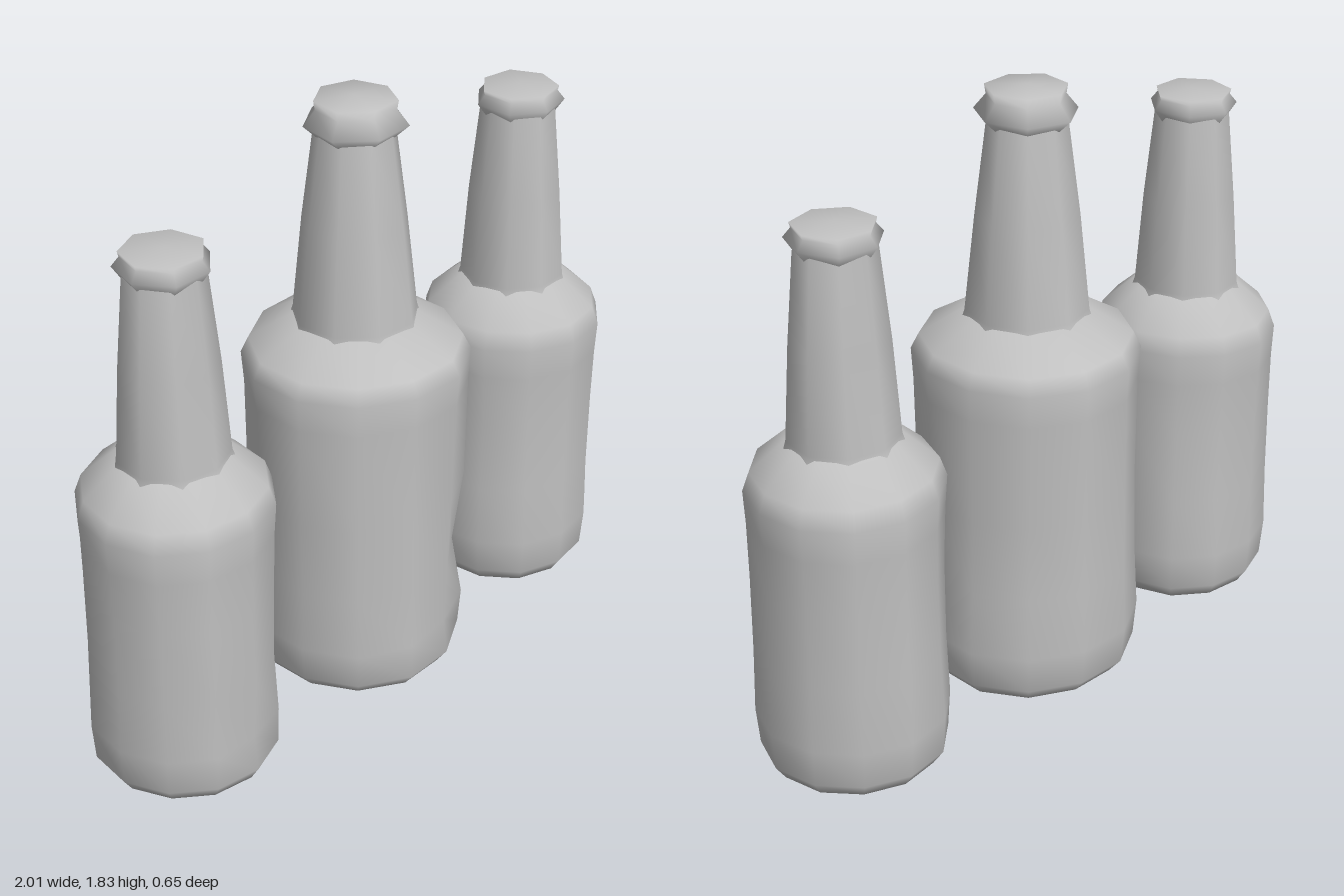
import * as THREE from 'three';
import { mergeVertices } from 'three/addons/utils/BufferGeometryUtils.js';

const glass = new THREE.MeshStandardMaterial({ color: 0xc0c0c0 });
glass.name = 'grey';

// Turned part with welded smooth normals; dents push [angle, y, depth] areas inward
function turned(name, profile, sides, wobble = 0, dents = [], seed = 0) {
  let g = new THREE.LatheGeometry(profile.map(([r, y]) => new THREE.Vector2(r, y)), sides, seed);
  g.deleteAttribute('uv');
  g.deleteAttribute('normal');
  g = mergeVertices(g, 1e-4);
  const p = g.attributes.position;
  for (let i = 0; i < p.count; i++) {
    const x = p.getX(i), y = p.getY(i), z = p.getZ(i);
    const r = Math.hypot(x, z);
    if (r < 0.01) continue;
    const a = Math.atan2(x, z);
    let k = 1 + wobble * Math.sin(a * 3 + y * 4 + seed * 9);
    for (const [da, dy, depth] of dents) {
      const d = Math.atan2(Math.sin(a - da), Math.cos(a - da));
      k -= depth / r * Math.exp(-((d / 0.4) ** 2) - ((y - dy) / 0.09) ** 2);
    }
    p.setXYZ(i, x * k, y, z * k);
  }
  g.computeVertexNormals();
  const mesh = new THREE.Mesh(g, glass);
  mesh.name = name;
  return mesh;
}

// One bottle: body with shoulder, tapering neck, flared lip with a closed top
function bottle(name, x, o) {
  const { r, shoulder, neckY, neckR, lipY, topY, topR, lipR, seed, dents } = o;
  const body = turned('body', [
    [0, 0.005], [r * 0.86, 0], [r * 0.97, 0.045], [r, 0.16], [r * 0.975, 0.36], [r * 0.97, 0.6],
    [r * 0.98, shoulder - 0.1], [r, shoulder], [r * 0.93, shoulder + (neckY - shoulder) * 0.38],
    [neckR, neckY], [0, neckY + 0.01],
  ], 12, 0.012, dents, seed);
  const neck = turned('neck', [
    [neckR + 0.01, neckY - 0.02], [neckR, neckY + 0.01],
    [(neckR + topR) / 2 + 0.006, (neckY + lipY) / 2], [topR + 0.006, lipY - 0.02], [topR, lipY],
  ], 9, 0.01, [], seed);
  const lip = turned('lip', [
    [topR * 0.98, lipY - 0.04], [lipR, lipY], [topR * 1.04, lipY + (topY - lipY) * 0.55],
    [topR * 1.08, topY - 0.008], [0, topY],
  ], 7, 0.02, [], seed + 0.3);
  const group = new THREE.Group();
  group.name = name;
  group.add(body, neck, lip);
  group.position.x = x;
  return group;
}

export function createModel() {
  const model = new THREE.Group();
  model.name = 'bottles';
  const small = {
    r: 0.28, shoulder: 0.87, neckY: 1.015, neckR: 0.16,
    lipY: 1.59, topY: 1.64, topR: 0.108, lipR: 0.134,
  };
  model.add(
    bottle('rightBottle', -0.727, { ...small, seed: 0.1, dents: [[0.1, 0.16, 0.025], [0.9, 0.3, 0.015]] }),
    bottle('middleBottle', 0, {
      r: 0.335, shoulder: 1.03, neckY: 1.155, neckR: 0.183,
      lipY: 1.75, topY: 1.83, topR: 0.11, lipR: 0.15, seed: 0.25,
      dents: [[0.1, 0.16, 0.03], [0.7, 0.36, 0.03]],
    }),
    bottle('leftBottle', 0.722, { ...small, seed: 0.4, dents: [[-1.57, 0.62, 0.015]] }),
  );
  return model;
}
